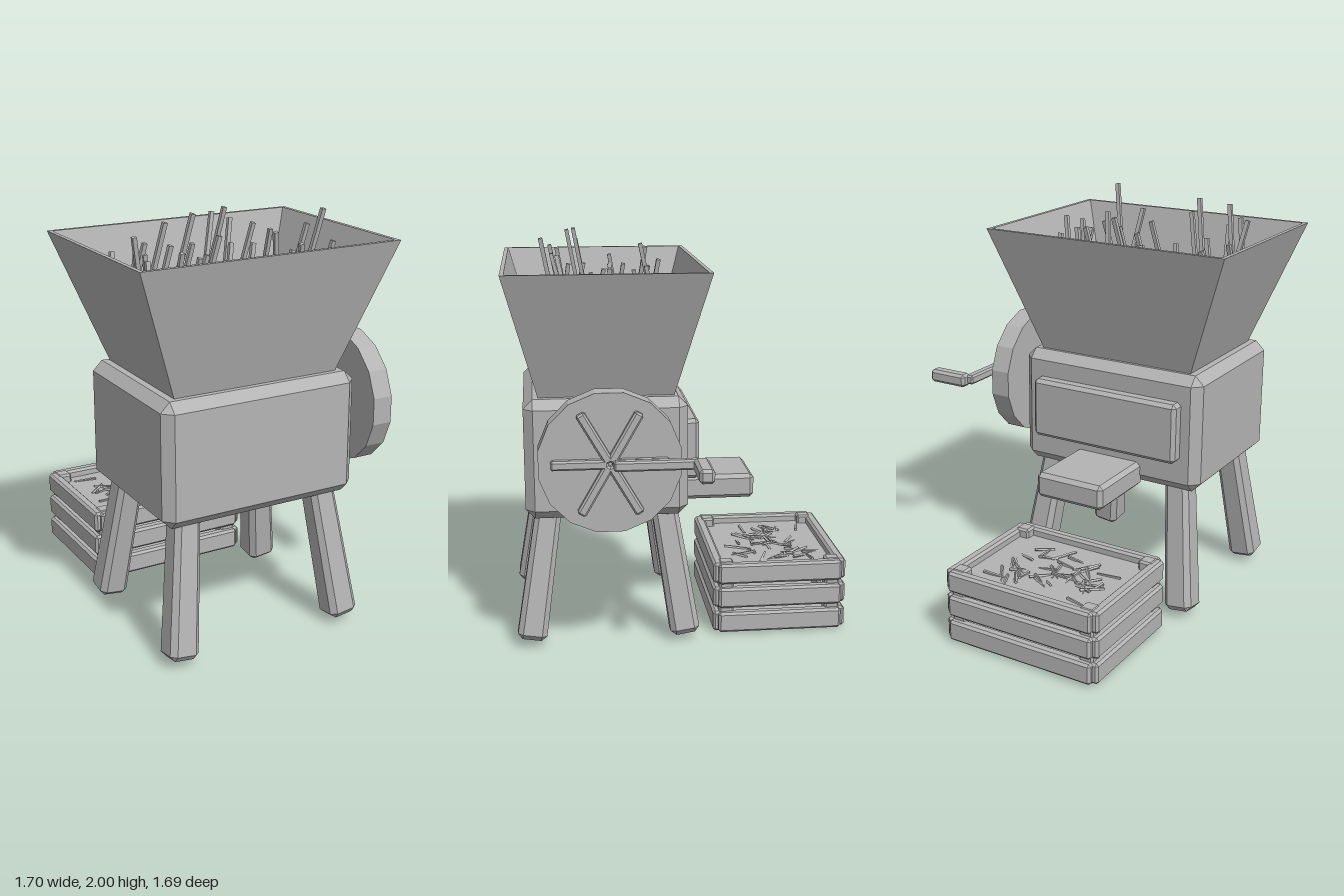
import * as THREE from 'three';
import { ConvexGeometry } from 'three/addons/geometries/ConvexGeometry.js';

const grey = new THREE.MeshStandardMaterial({ color: 0xb4b4b4 });
grey.name = 'plainGrey';

// Box with every edge chamfered; taper scales the top end
function chamferBox(w, h, d, c, taper = 1) {
  const pts = [];
  for (const sx of [-1, 1]) for (const sy of [-1, 1]) for (const sz of [-1, 1]) {
    const k = sy > 0 ? taper : 1;
    for (let axis = 0; axis < 3; axis++) {
      pts.push(new THREE.Vector3(
        sx * (w / 2 - (axis === 0 ? 0 : c)) * k,
        sy * (h / 2 - (axis === 1 ? 0 : c)),
        sz * (d / 2 - (axis === 2 ? 0 : c)) * k));
    }
  }
  return new ConvexGeometry(pts);
}

function add(parent, name, geometry, x = 0, y = 0, z = 0) {
  const mesh = new THREE.Mesh(geometry, grey);
  mesh.name = name;
  mesh.position.set(x, y, z);
  parent.add(mesh);
  return mesh;
}

// Chamfered box given by its limits on each axis
function block(parent, name, [x0, x1], [y0, y1], [z0, z1], c) {
  return add(parent, name, chamferBox(x1 - x0, y1 - y0, z1 - z0, c),
    (x0 + x1) / 2, (y0 + y1) / 2, (z0 + z1) / 2);
}

// Square bar running between two points
function bar(parent, name, a, b, size, c, taper) {
  const dir = b.clone().sub(a);
  const geo = c ? chamferBox(size, dir.length(), size, c, taper)
    : new THREE.BoxGeometry(size, dir.length(), size);
  const mesh = add(parent, name, geo);
  mesh.position.copy(a).add(b).multiplyScalar(0.5);
  mesh.quaternion.setFromUnitVectors(new THREE.Vector3(0, 1, 0), dir.normalize());
  return mesh;
}

// Flat-faced surface through rectangular rings [halfX, y, halfZ]
function rectLoft(rings) {
  const pos = [];
  const corner = ([hx, y, hz], i) => [[-hx, y, hz], [hx, y, hz], [hx, y, -hz], [-hx, y, -hz]][i % 4];
  for (let r = 0; r + 1 < rings.length; r++) for (let i = 0; i < 4; i++) {
    const a = corner(rings[r], i), b = corner(rings[r], i + 1);
    const c = corner(rings[r + 1], i + 1), d = corner(rings[r + 1], i);
    pos.push(...a, ...b, ...c, ...a, ...c, ...d);
  }
  const geo = new THREE.BufferGeometry();
  geo.setAttribute('position', new THREE.Float32BufferAttribute(pos, 3));
  geo.computeVertexNormals();
  return geo;
}

// Upright stalks in the hopper: x, z, lean direction (radians), top height
const STALKS = [
  [-0.65, 0.11, -0.9, 1.78], [-0.29, 0.16, 0.9, 1.8], [-0.27, 0.26, 0.6, 1.76],
  [-0.17, 0.16, -0.6, 1.93], [-0.11, 0.14, 0.95, 1.95], [-0.04, 0.11, -0.7, 1.88],
  [0.05, 0.13, 0.75, 1.86], [0.17, 0.12, 1.5, 1.82], [0.23, 0.32, 0.7, 1.87],
  [0.18, 0.41, 2.0, 1.8], [-0.18, 0.37, -0.75, 1.82], [-0.36, 0.37, 1.1, 1.78],
  [-0.45, 0.46, 0.8, 2.0], [-0.37, 0.55, 0.7, 1.91], [-0.17, 0.54, -0.6, 1.85],
  [-0.04, 0.55, 2.2, 1.9], [0.03, 0.56, -0.75, 1.8], [0.25, 0.51, 0.7, 1.82],
  [0.11, 0.63, 0.8, 2.0], [0.17, 0.65, -0.7, 1.8], [-0.6, 0.24, -0.6, 1.8],
  [-0.59, 0.27, 0.75, 1.85], [-0.54, 0.27, 2.4, 1.8], [-0.67, 0.44, 2.4, 1.92],
  [-0.6, 0.49, 0.8, 1.98], [-0.63, 0.46, -1.2, 1.8], [-0.545, 0.565, 1.35, 1.86],
  [-0.62, 0.58, 0.8, 1.9],
];

export function createModel() {
  const model = new THREE.Group();
  model.name = 'crankMill';
  const cx = -0.215, cz = 0.365;
  const V = (x, y, z) => new THREE.Vector3(x, y, z);

  // Housing, rear panel and outlet chute
  block(model, 'housing', [-0.71, 0.28], [0.66, 1.25], [-0.03, 0.76], 0.046);
  block(model, 'rearPanel', [-0.615, 0.185], [0.82, 1.12], [-0.093, 0], 0.018);
  block(model, 'outletChute', [-0.4, -0.035], [0.645, 0.77], [-0.405, 0], 0.02);

  // Four splayed legs
  for (const sx of [-1, 1]) for (const sz of [-1, 1]) {
    bar(model, 'leg', V(cx + sx * 0.435, 0.035, cz + sz * 0.383),
      V(cx + sx * 0.35, 0.72, cz + sz * 0.278), 0.145, 0.026, 0.87);
  }

  // Flared hopper with its filling
  add(model, 'hopper', rectLoft([
    [0.415, 1.25, 0.328], [0.64, 1.86, 0.485], [0.62, 1.86, 0.465], [0.515, 1.56, 0.377],
  ]), cx, 0, 0.36);
  add(model, 'hopperFilling', new THREE.BoxGeometry(1.03, 0.04, 0.75), cx, 1.55, 0.36);
  const stalks = new THREE.Group();
  stalks.name = 'stalks';
  model.add(stalks);
  for (const [x, z, angle, top] of STALKS) {
    const dx = Math.cos(angle) * 0.036, dz = Math.sin(angle) * 0.036;
    bar(stalks, 'stalk', V(x - dx, top - 0.28, z - dz), V(x + dx, top - 0.003, z + dz), 0.02);
  }

  // Flywheel with six spokes
  const wheel = new THREE.Group();
  wheel.name = 'flywheel';
  wheel.position.set(0, 1.007, cz);
  model.add(wheel);
  const disc = new THREE.CylinderGeometry(0.336, 0.336, 0.102, 16, 1, false, Math.PI / 16)
    .rotateZ(Math.PI / 2).toNonIndexed();
  disc.computeVertexNormals();
  add(wheel, 'disc', disc, 0.476, 0, 0);
  for (let i = 0; i < 6; i++) {
    const spoke = add(wheel, 'spoke', chamferBox(0.05, 0.045, 0.265, 0.009).translate(0, 0, 0.142), 0.535, 0, 0);
    spoke.rotation.x = i * Math.PI / 3;
  }

  // Hand crank
  block(model, 'crankArm', [0.602, 0.65], [0.997, 1.045], [-0.04, 0.355], 0.009);
  block(model, 'crankHandle', [0.632, 0.85], [0.985, 1.052], [-0.077, -0.007], 0.014);

  // Slatted crate
  const crate = new THREE.Group();
  crate.name = 'crate';
  crate.position.set(-0.213, 0, -0.508);
  model.add(crate);
  for (const y of [0.06, 0.19, 0.318]) for (const s of [-1, 1]) {
    add(crate, 'longSlat', chamferBox(0.79, 0.105, 0.055, 0.012), 0, y, s * 0.312);
    add(crate, 'shortSlat', chamferBox(0.055, 0.105, 0.63, 0.012), s * 0.394, y, 0);
  }
  for (const sx of [-1, 1]) for (const sz of [-1, 1]) {
    add(crate, 'cornerPost', chamferBox(0.075, 0.375, 0.075, 0.01), sx * 0.355, 0.1875, sz * 0.272);
  }
  add(crate, 'crateBase', new THREE.BoxGeometry(0.77, 0.04, 0.61), 0, 0.03, 0);
  add(crate, 'crateFilling', new THREE.BoxGeometry(0.75, 0.04, 0.59), 0, 0.31, 0);

  // Loose chopped straw lying on the crate filling
  let seed = 11;
  const rand = () => (seed = (seed * 16807) % 2147483647) / 2147483647;
  for (let i = 0; i < 40; i++) {
    const x = (rand() - 0.5) * 0.5, z = (rand() - 0.5) * 0.4 - 0.02;
    const a = rand() * Math.PI * 2, half = 0.04 + rand() * 0.035, tilt = rand() * 0.01;
    const dx = Math.cos(a) * half, dz = Math.sin(a) * half;
    bar(crate, 'choppedStraw', V(x - dx, 0.33 - tilt, z - dz), V(x + dx, 0.333 + tilt, z + dz), 0.011);
  }
  return model;
}
